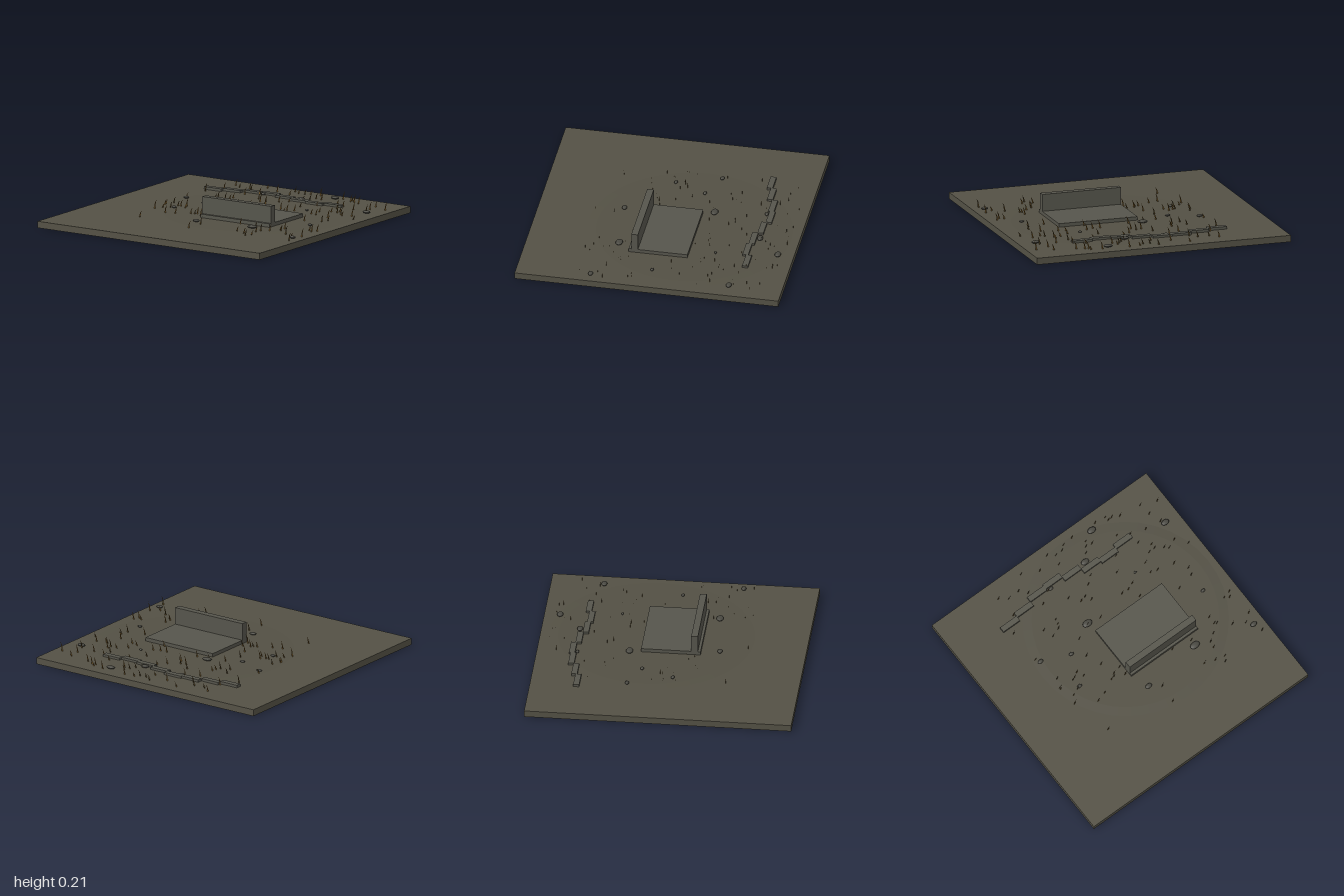
import * as THREE from 'three';

const mat = (name, color, side = THREE.FrontSide) => {
  const m = new THREE.MeshStandardMaterial({ color, side });
  m.name = name;
  return m;
};

export function createModel() {
  const group = new THREE.Group();
  group.name = 'ruinedGround';
  const earth = mat('earth', 0x545145);
  const soil = mat('soil', 0x535044);
  const concrete = mat('concrete', 0x56554c);
  const stone = mat('stone', 0x4a4942);
  const straw = mat('dryGrass', 0x75592a, THREE.DoubleSide);
  const darkStraw = mat('darkGrass', 0x594826, THREE.DoubleSide);

  const add = (name, geometry, material, x = 0, y = 0, z = 0) => {
    const mesh = new THREE.Mesh(geometry, material);
    mesh.name = name;
    mesh.position.set(x, y, z);
    group.add(mesh);
    return mesh;
  };
  // box from its minimum and maximum corners
  const box = (name, material, [x0, y0, z0], [x1, y1, z1]) =>
    add(name, new THREE.BoxGeometry(x1 - x0, y1 - y0, z1 - z0), material,
      (x0 + x1) / 2, (y0 + y1) / 2, (z0 + z1) / 2);

  // ground plate with a very thin worn soil patch
  box('groundPlate', earth, [-1, 0, -1], [1, 0.05, 1]);
  add('soilPatch', new THREE.CylinderGeometry(0.7, 0.77, 0.003, 40), soil, 0.18, 0.0515, -0.17);

  // floor slab and the wall left standing on its front edge
  box('floorSlab', concrete, [-0.06, 0.05, -0.225], [0.56, 0.08, 0.22]);
  box('standingWall', concrete, [-0.06, 0.05, 0.15], [0.56, 0.21, 0.2]);

  // stepped line of low kerb blocks at the back
  [-0.652, -0.683, -0.722, -0.733, -0.7, -0.662, -0.645, -0.672].forEach((z, i) => {
    const x = -0.61 + i * 0.1525;
    box('kerbBlock', concrete, [x, 0.05, z - 0.022], [x + 0.1525, 0.07, z + 0.022]);
  });

  // flattened stones: x, z, radius
  const pebble = new THREE.SphereGeometry(1, 12, 6);
  [
    [0.4, -0.88, 0.035], [0.21, -0.71, 0.033], [-0.12, -0.695, 0.02], [0.875, -0.6, 0.032],
    [0.46, -0.42, 0.013], [-0.07, -0.31, 0.04], [-0.53, -0.28, 0.023], [-0.31, -0.19, 0.02],
    [0.775, 0, 0.018], [-0.415, 0.05, 0.02], [-0.005, 0.36, 0.028], [0.465, 0.31, 0.04],
    [0.915, 0.44, 0.027],
  ].forEach(([x, z, r]) => {
    const h = 0.006 + r * 0.16;
    add('stone', pebble, stone, x, 0.052 + h, z).scale.set(r, h, r * 0.68);
  });

  // flat grass blades, all leaning to the model's left
  const blade = new THREE.ShapeGeometry(new THREE.Shape([
    new THREE.Vector2(-0.007, 0), new THREE.Vector2(0.007, 0),
    new THREE.Vector2(0.012, 0.6), new THREE.Vector2(0.02, 1), new THREE.Vector2(0.003, 0.6),
  ]));
  let seed = 17;
  const random = () => (seed = (seed * 16807) % 2147483647) / 2147483647;
  for (let count = 0; count < 110;) {
    const x = -0.56 + random() * 1.5;
    const z = -0.93 + random() * 1.5;
    const h = 0.035 + random() * 0.04;
    const onSlab = x > -0.08 && x < 0.57 && z > -0.24 && z < 0.23;
    const sparseFront = z > 0.25 && x < 0.4 && random() < 0.75;
    if (onSlab || sparseFront) continue;
    add('grassBlade', blade, count % 3 ? straw : darkStraw, x, 0.05, z).scale.set(0.9, h, 1);
    count++;
  }
  return group;
}
